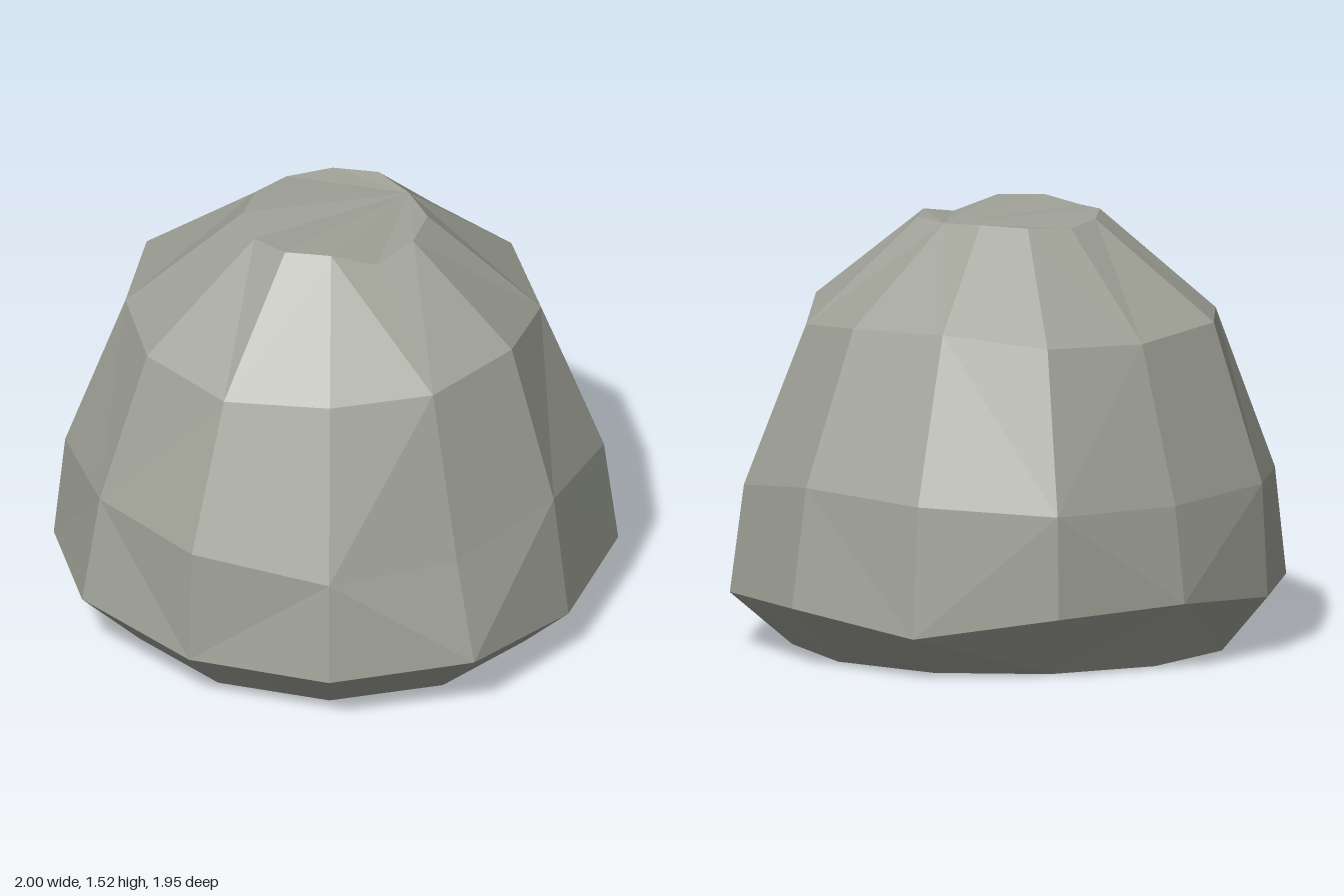
import * as THREE from 'three';

const SIDES = 12;
const CENTRE_Z = -0.04;

// Rings from base to crown: radius and height of each corner,
// starting at the front and turning towards +x.
const rings = [
  { r: [.79, .78, .78, .79, .79, .78, .78, .78, .77, .77, .78, .79],
    y: Array(SIDES).fill(0) },
  { r: [1.01, .96, 1, 1, 1, .96, .94, .95, .97, 1, .98, 1],
    y: [.21, .17, .19, .21, .15, .22, .24, .2, .2, .23, .2, .2] },
  { r: [.89, .9, .95, .935, .95, .94, .89, .93, .93, .93, .96, .94],
    y: [.56, .62, .57, .63, .61, .58, .58, .6, .58, .62, .62, .56] },
  { r: [.72, .73, .73, .72, .7, .73, .71, .75, .72, .74, .74, .7],
    y: [1.15, 1.18, 1.13, 1.17, 1.18, 1.14, 1.13, 1.16, 1.15, 1.15, 1.13, 1.14] },
  { r: [.32, .33, .335, .31, .32, .32, .32, .31, .31, .31, .32, .3],
    y: [1.47, 1.5, 1.5, 1.5, 1.51, 1.5, 1.49, 1.5, 1.51, 1.5, 1.52, 1.52] },
];

function makeRock() {
  const positions = [];
  const index = [];
  for (const ring of rings) {
    for (let k = 0; k < SIDES; k++) {
      const a = (k / SIDES) * Math.PI * 2;
      positions.push(ring.r[k] * Math.sin(a), ring.y[k], CENTRE_Z + ring.r[k] * Math.cos(a));
    }
  }
  // Side facets with alternating diagonals
  for (let i = 0; i < rings.length - 1; i++) {
    for (let k = 0; k < SIDES; k++) {
      const n = (k + 1) % SIDES;
      const a = i * SIDES + k, b = i * SIDES + n;
      const d = a + SIDES, c = b + SIDES;
      if ((k + i) % 2) index.push(a, b, c, a, c, d);
      else index.push(a, b, d, b, c, d);
    }
  }
  // Crown fans out from the +x corner, base from the front corner
  const top = (rings.length - 1) * SIDES;
  for (let k = 1; k < SIDES - 1; k++) {
    index.push(top + 3, top + (3 + k) % SIDES, top + (4 + k) % SIDES);
    index.push(0, k + 1, k);
  }
  const geometry = new THREE.BufferGeometry();
  geometry.setAttribute('position', new THREE.Float32BufferAttribute(positions, 3));
  geometry.setIndex(index);
  const faceted = geometry.toNonIndexed();
  faceted.computeVertexNormals();
  return faceted;
}

export function createModel() {
  const group = new THREE.Group();
  group.name = 'boulder';
  const stone = new THREE.MeshStandardMaterial({ color: 0xa0a298, flatShading: true });
  stone.name = 'grey stone';
  const rock = new THREE.Mesh(makeRock(), stone);
  rock.name = 'rock';
  group.add(rock);
  return group;
}
